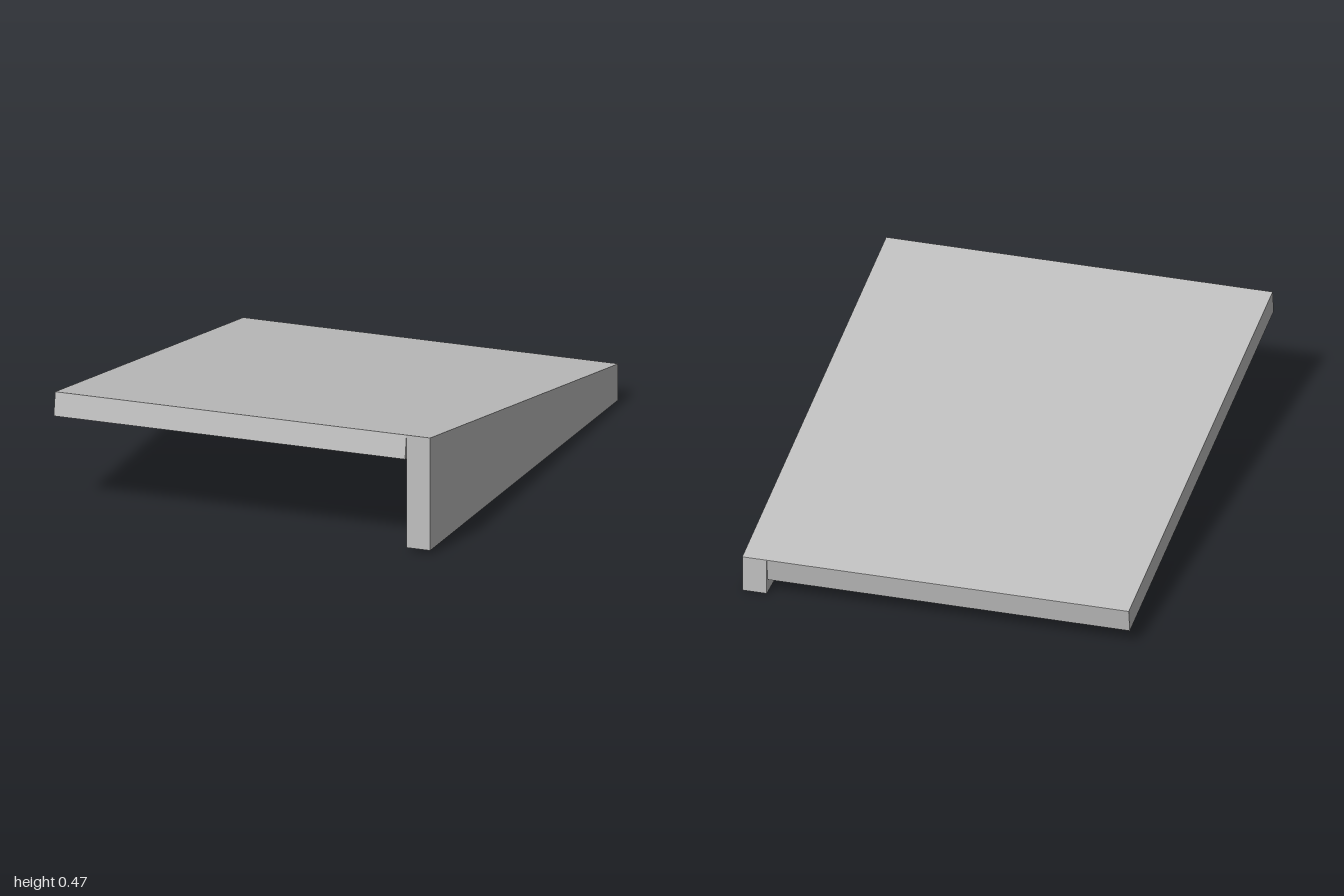
import * as THREE from 'three';

// Extrudes a side profile of [z, y] points from x = x0 to x = x1
function sideExtrude(points, x0, x1) {
  const shape = new THREE.Shape(points.map(([z, y]) => new THREE.Vector2(z, y)));
  const geometry = new THREE.ExtrudeGeometry(shape, { depth: x1 - x0, bevelEnabled: false });
  geometry.rotateY(-Math.PI / 2);
  geometry.translate(x1, 0, 0);
  return geometry;
}

export function createModel() {
  const group = new THREE.Group();
  group.name = 'slopedPanel';

  const grey = new THREE.MeshStandardMaterial({ color: 0xc0c0c0 });
  grey.name = 'light grey';

  const add = (name, points, x0, x1) => {
    const mesh = new THREE.Mesh(sideExtrude(points, x0, x1), grey);
    mesh.name = name;
    group.add(mesh);
  };

  // Tilted top slab, its ends square to the slope
  add('topSlab', [[-0.985, 0.053], [1, 0.376], [0.985, 0.469], [-1, 0.146]], -0.767, 0.67);

  // Tapered side wall with upright ends
  add('sideWall', [[-1, 0], [0.985, 0.016], [0.985, 0.469], [-1, 0.146]], 0.67, 0.767);

  return group;
}
